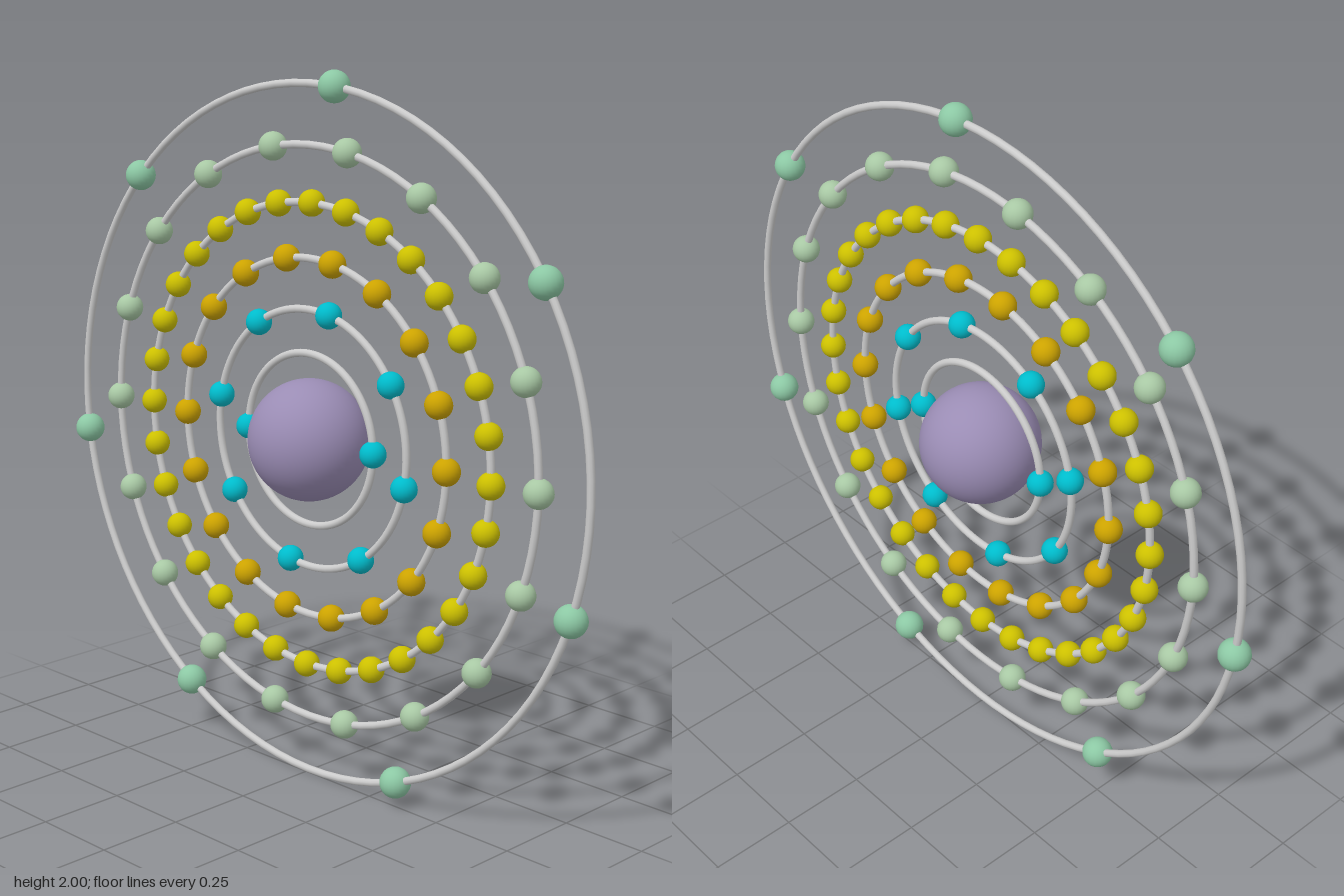
import * as THREE from 'three';

const CENTER = new THREE.Vector3(0.011, 0.988, 0);
const TUBE = 0.011;

// Each orbit: ring radius, ball count, angle of first ball (degrees), ball radius, colour
const ORBITS = [
  { radius: 0.243, count: 2, start: 0, ball: 0.037, color: 0x00bccc },
  { radius: 0.365, count: 8, start: 33.2, ball: 0.037, color: 0x00bccc },
  { radius: 0.506, count: 18, start: 0, ball: 0.038, color: 0xcca300 },
  { radius: 0.657, count: 32, start: -0.8, ball: 0.037, color: 0xccc000 },
  { radius: 0.812, count: 18, start: 0, ball: 0.040, color: 0xa8c8a4 },
  { radius: 0.975, count: 7, start: 33.1, ball: 0.044, color: 0x8cc8a4 },
];

function material(color) {
  return new THREE.MeshStandardMaterial({ color });
}

function addMesh(parent, name, geometry, mat) {
  const mesh = new THREE.Mesh(geometry, mat);
  mesh.name = name;
  parent.add(mesh);
  return mesh;
}

// A ring in the XY plane carrying evenly spaced balls
function createOrbit({ radius, count, start, ball, color }, ringMaterial) {
  const orbit = new THREE.Group();
  addMesh(orbit, 'ring', new THREE.TorusGeometry(radius, TUBE, 10, 96), ringMaterial);

  const ballGeometry = new THREE.SphereGeometry(ball, 20, 14);
  const ballMaterial = material(color);
  for (let i = 0; i < count; i++) {
    const angle = THREE.MathUtils.degToRad(start) + (i / count) * Math.PI * 2;
    const electron = addMesh(orbit, `electron${i + 1}`, ballGeometry, ballMaterial);
    electron.position.set(Math.cos(angle) * radius, Math.sin(angle) * radius, 0);
  }
  return orbit;
}

export function createModel() {
  const model = new THREE.Group();
  model.name = 'atomModel';

  // Central nucleus
  const nucleus = addMesh(model, 'nucleus', new THREE.SphereGeometry(0.171, 48, 32), material(0x9a8cb4));
  nucleus.position.copy(CENTER);

  // Concentric electron shells
  const ringMaterial = material(0xcccccc);
  ORBITS.forEach((spec, i) => {
    const orbit = createOrbit(spec, ringMaterial);
    orbit.name = `electronShell${i + 1}`;
    orbit.position.copy(CENTER);
    model.add(orbit);
  });

  return model;
}
